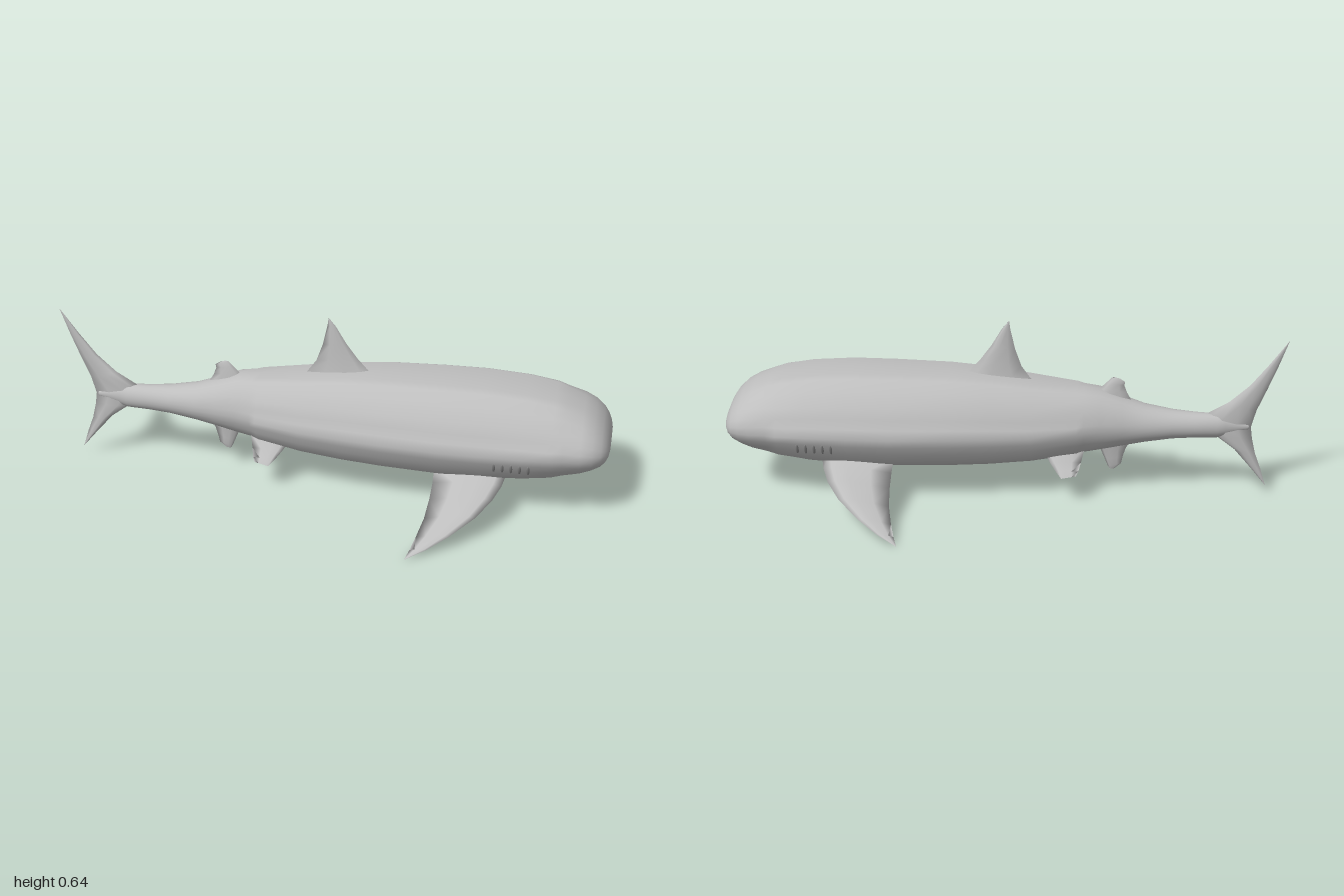
import * as THREE from 'three';

const skin = new THREE.MeshStandardMaterial({ color: 0xbebebe });
skin.name = 'greySkin';
const slitGrey = new THREE.MeshStandardMaterial({ color: 0x8c8c8c });
slitGrey.name = 'gillGrey';

// Skins a list of equal-length closed rings, faces outward
function loft(name, rings) {
  const n = rings[0].length, pos = rings.flat(2), idx = [];
  for (let i = 0; i < rings.length - 1; i++) {
    for (let j = 0; j < n; j++) {
      const a = i * n + j, b = i * n + (j + 1) % n;
      idx.push(a, b, a + n, b, b + n, a + n);
    }
  }
  // Signed volume tells whether the winding must be reversed
  const p = (i) => new THREE.Vector3().fromArray(pos, i * 3);
  const origin = p(0);
  let volume = 0;
  for (let i = 0; i < idx.length; i += 3) {
    const [a, b, c] = [0, 1, 2].map((k) => p(idx[i + k]).sub(origin));
    volume += a.dot(b.cross(c));
  }
  if (volume < 0) idx.reverse();
  const g = new THREE.BufferGeometry();
  g.setAttribute('position', new THREE.Float32BufferAttribute(pos, 3));
  g.setIndex(idx);
  g.computeVertexNormals();
  const mesh = new THREE.Mesh(g, skin);
  mesh.name = name;
  return mesh;
}

// Fin from rows [leading point, trailing point, half thickness]
function fin(name, rows, normal) {
  const foil = [[0, 0], [0.12, 0.6], [0.35, 1], [0.7, 0.6], [1, 0],
    [0.7, -0.6], [0.35, -1], [0.12, -0.6]];
  return loft(name, rows.map(([lead, trail, t]) => foil.map(([u, h]) =>
    lead.map((v, k) => v + (trail[k] - v) * u + normal[k] * h * t))));
}

// Upright fin on the centre line: rows [lead x, lead y, trail x, trail y, half thickness]
const uprightFin = (name, rows) => fin(name,
  rows.map(([lx, ly, tx, ty, t]) => [[lx, ly, 0], [tx, ty, 0], t]), [0, 0, 1]);

// Ridged half section: [share of half width, share of height], top to bottom
const ridged = [[0, 1], [0.34, 1], [0.44, 0.97], [0.62, 0.88], [0.8, 0.75],
  [0.86, 0.64], [0.93, 0.55], [1, 0.46], [0.93, 0.36], [0.87, 0.27],
  [0.72, 0.13], [0.5, 0.05], [0.25, 0.01], [0, 0]];

// Body stations: [x, bottom, top, half width, how ridged]
const stations = [
  [-0.87, 0.255, 0.275, 0.006, 0],
  [-0.79, 0.23, 0.305, 0.024, 0],
  [-0.76, 0.222, 0.312, 0.034, 0],
  [-0.68, 0.22, 0.315, 0.042, 0],
  [-0.6, 0.215, 0.322, 0.052, 0],
  [-0.5, 0.2, 0.34, 0.068, 0.1],
  [-0.42, 0.183, 0.368, 0.082, 0.2],
  [-0.34, 0.168, 0.398, 0.104, 0.4],
  [-0.285, 0.16, 0.403, 0.118, 0.6],
  [-0.26, 0.154, 0.406, 0.133, 0.9],
  [-0.1, 0.128, 0.425, 0.165, 1],
  [0.05, 0.115, 0.445, 0.19, 1],
  [0.2, 0.108, 0.455, 0.209, 1],
  [0.4, 0.104, 0.458, 0.224, 1],
  [0.55, 0.106, 0.458, 0.227, 1],
  [0.7, 0.118, 0.447, 0.227, 1],
  [0.8, 0.134, 0.431, 0.224, 0.85],
  [0.84, 0.142, 0.42, 0.211, 0.5],
  [0.9, 0.157, 0.398, 0.205, 0.2],
  [0.94, 0.172, 0.375, 0.192, 0],
  [0.97, 0.19, 0.345, 0.17, 0],
  [0.985, 0.206, 0.322, 0.148, 0],
  [0.995, 0.225, 0.298, 0.12, 0],
  [1.0, 0.25, 0.275, 0.08, 0],
];

function bodyRing([x, bottom, top, half, w]) {
  const side = ridged.map(([rz, ry], j) => {
    const a = (j / (ridged.length - 1)) * Math.PI;
    const z = THREE.MathUtils.lerp(Math.sin(a), rz, w);
    const y = THREE.MathUtils.lerp(0.5 + 0.5 * Math.cos(a), ry, w);
    return [x, bottom + (top - bottom) * y, half * z];
  });
  return [...side, ...side.slice(1, -1).reverse().map(([px, y, z]) => [px, y, -z])];
}

function createModel() {
  const model = new THREE.Group();
  model.name = 'shark';

  // Body with closed ends
  const rings = stations.map(bodyRing);
  const end = (x, y) => rings[0].map(() => [x, y, 0]);
  model.add(loft('body', [end(-0.875, 0.265), ...rings, end(1, 0.262)]));

  // Centre-line fins
  model.add(uprightFin('tailFin', [
    [-1, 0.6, -1, 0.6, 0],
    [-0.93, 0.502, -0.965, 0.5, 0.007],
    [-0.87, 0.425, -0.93, 0.41, 0.011],
    [-0.8, 0.36, -0.897, 0.33, 0.016],
    [-0.71, 0.305, -0.88, 0.265, 0.022],
    [-0.75, 0.232, -0.886, 0.22, 0.02],
    [-0.825, 0.175, -0.9, 0.16, 0.013],
    [-0.885, 0.105, -0.922, 0.1, 0.008],
    [-0.942, 0.035, -0.942, 0.035, 0],
  ]));
  model.add(uprightFin('dorsalFin', [
    [0.17, 0.42, -0.13, 0.39, 0.026],
    [0.125, 0.455, -0.09, 0.43, 0.021],
    [0.09, 0.495, -0.058, 0.475, 0.016],
    [0.05, 0.55, -0.035, 0.54, 0.012],
    [0.012, 0.615, -0.018, 0.615, 0.007],
    [-0.012, 0.645, -0.014, 0.645, 0],
  ]));
  model.add(uprightFin('secondDorsalFin', [
    [-0.32, 0.37, -0.46, 0.34, 0.02],
    [-0.345, 0.405, -0.435, 0.385, 0.014],
    [-0.365, 0.425, -0.425, 0.412, 0.01],
    [-0.38, 0.441, -0.428, 0.425, 0.005],
    [-0.39, 0.443, -0.41, 0.437, 0],
  ]));
  model.add(uprightFin('analFin', [
    [-0.32, 0.2, -0.46, 0.21, 0.02],
    [-0.345, 0.16, -0.435, 0.165, 0.014],
    [-0.36, 0.125, -0.425, 0.13, 0.01],
    [-0.372, 0.095, -0.42, 0.105, 0.006],
    [-0.38, 0.083, -0.395, 0.083, 0],
  ]));

  for (const s of [1, -1]) {
    const label = s > 0 ? 'left' : 'right';
    const p = (x, y, z) => [x, y, s * z];

    // Large swept pectoral fins
    model.add(fin(label + 'PectoralFin', [
      [p(0.65, 0.165, 0.13), p(0.39, 0.16, 0.13), 0.014],
      [p(0.635, 0.137, 0.19), p(0.392, 0.128, 0.19), 0.017],
      [p(0.61, 0.118, 0.26), p(0.39, 0.1, 0.26), 0.019],
      [p(0.56, 0.09, 0.34), p(0.383, 0.07, 0.34), 0.015],
      [p(0.48, 0.055, 0.42), p(0.366, 0.042, 0.42), 0.01],
      [p(0.41, 0.026, 0.47), p(0.352, 0.02, 0.47), 0.006],
      [p(0.338, 0.002, 0.508), p(0.338, 0.002, 0.508), 0],
    ], [0, 0.92, s * 0.4]));

    // Small pelvic fins
    model.add(fin(label + 'PelvicFin', [
      [p(-0.14, 0.18, 0.07), p(-0.29, 0.19, 0.06), 0.012],
      [p(-0.17, 0.142, 0.1), p(-0.278, 0.145, 0.09), 0.009],
      [p(-0.19, 0.12, 0.12), p(-0.27, 0.122, 0.118), 0.006],
      [p(-0.21, 0.102, 0.14), p(-0.262, 0.11, 0.132), 0],
    ], [0, 0.7, s * 0.7]));

    // Row of five gill slits
    const gills = new THREE.Group();
    gills.name = label + 'Gills';
    for (let i = 0; i < 5; i++) {
      const slit = new THREE.Mesh(new THREE.SphereGeometry(1, 10, 8), slitGrey);
      slit.name = 'gillSlit';
      slit.scale.set(0.006, 0.024, 0.005);
      slit.position.set(0.605 + i * 0.03, 0.217, s * 0.202);
      slit.rotation.x = s * 0.45;
      gills.add(slit);
    }
    model.add(gills);
  }
  return model;
}

export { createModel };
